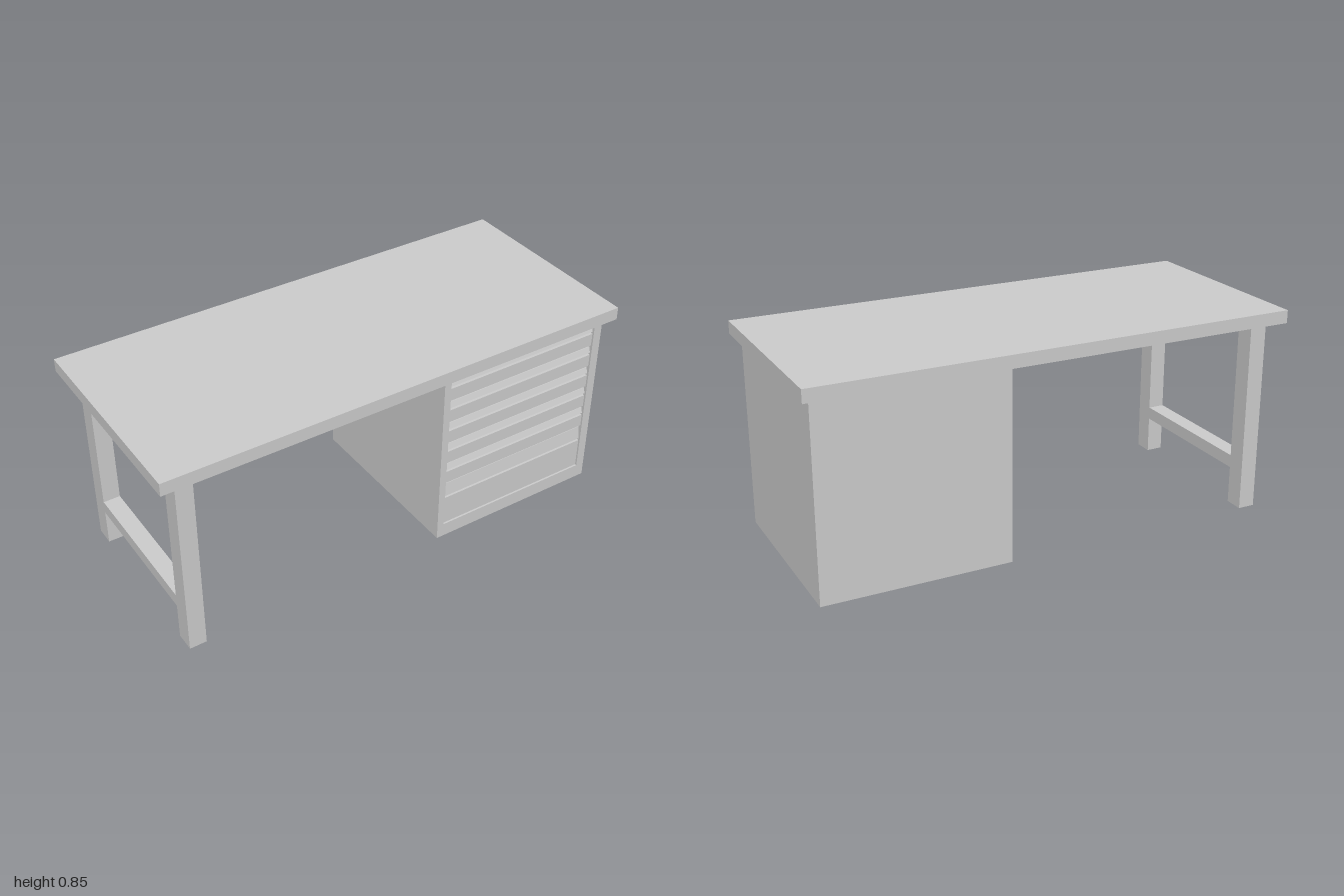
import * as THREE from 'three';

const material = new THREE.MeshStandardMaterial({ color: 0xcccccc, flatShading: true, side: THREE.DoubleSide });

// Box given by its minimum and maximum corners
function box(name, [x0, y0, z0], [x1, y1, z1]) {
  const mesh = new THREE.Mesh(new THREE.BoxGeometry(x1 - x0, y1 - y0, z1 - z0), material);
  mesh.name = name;
  mesh.position.set((x0 + x1) / 2, (y0 + y1) / 2, (z0 + z1) / 2);
  return mesh;
}

function rectangle(PathType, x0, y0, x1, y1) {
  const path = new PathType();
  path.moveTo(x0, y0);
  path.lineTo(x1, y0);
  path.lineTo(x1, y1);
  path.lineTo(x0, y1);
  path.closePath();
  return path;
}

// Square tube, open at both ends, standing on the floor
function squareTube(name, x, z, width, depth, height, wall) {
  const w = width / 2, d = depth / 2;
  const shape = rectangle(THREE.Shape, -w, -d, w, d);
  shape.holes.push(rectangle(THREE.Path, -w + wall, -d + wall, w - wall, d - wall));
  const geometry = new THREE.ExtrudeGeometry(shape, { depth: height, bevelEnabled: false });
  geometry.rotateX(-Math.PI / 2);
  const mesh = new THREE.Mesh(geometry, material);
  mesh.name = name;
  mesh.position.set(x, 0, z);
  return mesh;
}

// Drawer front: flat face with a sloping grip strip along its top
function drawerFront(bottom, flatTop, top, x0, x1) {
  const back = 0.365, face = 0.384;
  const shape = new THREE.Shape([
    [back, bottom], [face, bottom], [face, flatTop], [face - 0.012, flatTop],
    [face - 0.012, flatTop + 0.006], [face, flatTop + 0.01],
    [face - 0.008, top - 0.008], [face - 0.015, top - 0.008], [back, top],
  ].map(([z, y]) => new THREE.Vector2(z, y)));
  const geometry = new THREE.ExtrudeGeometry(shape, { depth: x1 - x0, bevelEnabled: false });
  geometry.rotateY(-Math.PI / 2);
  // the profile's first axis now points to +z and the sweep to -x
  geometry.translate(x1, 0, 0);
  const mesh = new THREE.Mesh(geometry, material);
  mesh.name = 'drawerFront';
  return mesh;
}

export function createModel() {
  const desk = new THREE.Group();
  desk.name = 'desk';
  const under = 0.793;

  desk.add(box('tabletop', [-1, under, -0.433], [1, 0.846, 0.433]));

  // Leg frame on the open side
  const legFrame = new THREE.Group();
  legFrame.name = 'legFrame';
  for (const side of [1, -1]) {
    legFrame.add(squareTube(side > 0 ? 'frontLeg' : 'backLeg', -0.895, side * 0.351, 0.07, 0.08, under, 0.003));
  }
  legFrame.add(box('stretcher', [-0.93, 0.155, -0.311], [-0.86, 0.208, 0.311]));
  desk.add(legFrame);

  // Drawer cabinet with a hollow plinth
  const cabinet = new THREE.Group();
  cabinet.name = 'drawerCabinet';
  const x0 = 0.195, x1 = 0.965, zBack = -0.392, zFront = 0.392, zFrame = 0.365, floor = 0.09, wall = 0.004;
  cabinet.add(
    box('cabinetBody', [x0, floor, zBack], [x1, under, zFrame]),
    box('plinthRight', [x0, 0, zBack], [x0 + wall, floor, zFrame]),
    box('plinthLeft', [x1 - wall, 0, zBack], [x1, floor, zFrame]),
    box('plinthBack', [x0 + wall, 0, zBack], [x1 - wall, floor, zBack + wall]),
  );

  // Frame around the drawers
  const opening = [0.225, 0.06, 0.928, 0.765];
  const frameShape = rectangle(THREE.Shape, x0, 0, x1, under);
  frameShape.holes.push(rectangle(THREE.Path, ...opening));
  const frame = new THREE.Mesh(
    new THREE.ExtrudeGeometry(frameShape, { depth: zFront - zFrame, bevelEnabled: false }), material);
  frame.name = 'cabinetFrame';
  frame.position.z = zFrame;
  cabinet.add(frame);

  // One deep drawer below five shallow ones
  const drawers = [[0.06, 0.19, 0.265]];
  for (let i = 0; i < 5; i++) {
    const y = 0.268 + i * 0.1;
    drawers.push([y, y + 0.055, Math.min(y + 0.097, 0.765)]);
  }
  for (const [bottom, flatTop, top] of drawers) {
    cabinet.add(drawerFront(bottom, flatTop, top, opening[0], opening[2]));
  }
  desk.add(cabinet);

  return desk;
}
